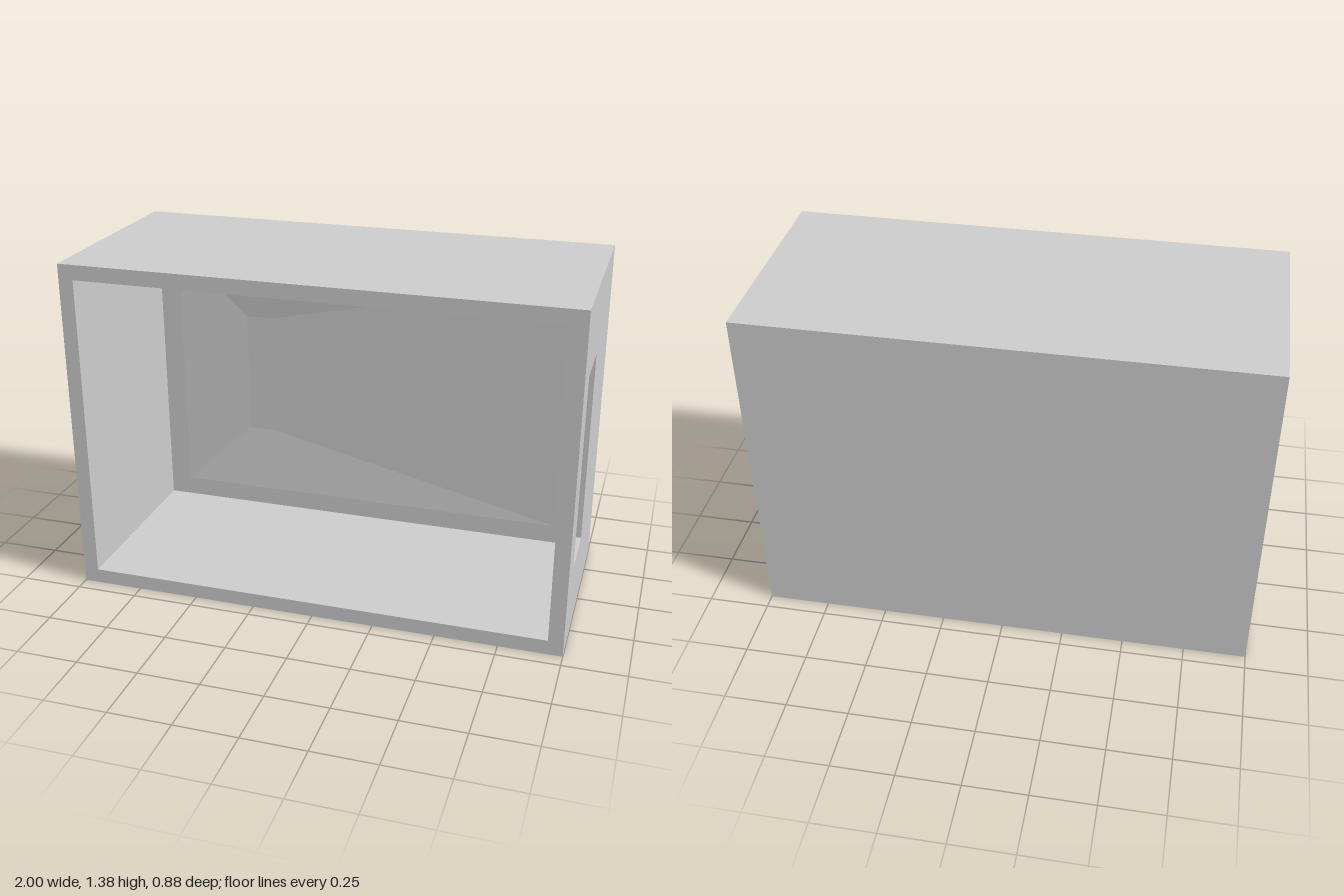
import * as THREE from 'three';
import { mergeGeometries } from 'three/addons/utils/BufferGeometryUtils.js';

const H = 1.375, D = 0.44;              // height, half depth
const X = 0.94, Y0 = 0.06, Y1 = 1.315;  // inner opening
const ZB = -0.34;                       // inner face of the back
const WIN = [0.035, 0.3, 0.287, 1.08];  // window in the side: z0, y0, z1, y1

function outline(target, u0, v0, u1, v1) {
  target.moveTo(u0, v0);
  target.lineTo(u1, v0);
  target.lineTo(u1, v1);
  target.lineTo(u0, v1);
  target.closePath();
  return target;
}

// Flat rectangle facing one axis; a and b are its ranges along the other two axes.
function panel(facing, at, a, b, hole) {
  const flip = { '+x': [-1, 1], '-x': [1, 1], '+y': [1, -1], '-y': [1, 1], '+z': [1, 1], '-z': [-1, 1] }[facing];
  const rect = ([a0, b0, a1, b1]) => {
    const u = [a0 * flip[0], a1 * flip[0]].sort((p, q) => p - q);
    const v = [b0 * flip[1], b1 * flip[1]].sort((p, q) => p - q);
    return [u[0], v[0], u[1], v[1]];
  };
  const shape = outline(new THREE.Shape(), ...rect([a[0], b[0], a[1], b[1]]));
  if (hole) shape.holes.push(outline(new THREE.Path(), ...rect(hole)));
  const g = new THREE.ShapeGeometry(shape);
  if (facing === '+x') g.rotateY(Math.PI / 2).translate(at, 0, 0);
  if (facing === '-x') g.rotateY(-Math.PI / 2).translate(at, 0, 0);
  if (facing === '+y') g.rotateX(-Math.PI / 2).translate(0, at, 0);
  if (facing === '-y') g.rotateX(Math.PI / 2).translate(0, at, 0);
  if (facing === '+z') g.translate(0, 0, at);
  if (facing === '-z') g.rotateY(Math.PI).translate(0, 0, at);
  return g;
}

// Inner back: nested rectangles joined by quads, the innermost pushed in slightly
function dentedPanel() {
  const rings = [
    [-X, Y0, X, Y1, ZB],
    [-0.85, 0.14, 0.85, 1.235, ZB],
    [-0.55, 0.425, -0.44, 0.955, ZB - 0.025],
  ];
  const pos = [], index = [];
  for (const [x0, y0, x1, y1, z] of rings) pos.push(x0, y0, z, x1, y0, z, x1, y1, z, x0, y1, z);
  for (let r = 0; r < rings.length - 1; r++) {
    for (let i = 0; i < 4; i++) {
      const a = r * 4 + i, b = r * 4 + (i + 1) % 4;
      index.push(a, b, b + 4, a, b + 4, a + 4);
    }
  }
  index.push(8, 9, 10, 8, 10, 11);
  const g = new THREE.BufferGeometry();
  g.setAttribute('position', new THREE.Float32BufferAttribute(pos, 3));
  g.setIndex(index);
  g.computeVertexNormals();
  return g;
}

export function createModel() {
  const group = new THREE.Group();
  group.name = 'openCase';
  const material = new THREE.MeshStandardMaterial({ color: 0xcccccc, flatShading: true });
  const add = (name, geometries) => {
    const mesh = new THREE.Mesh(mergeGeometries(geometries), material);
    mesh.name = name;
    group.add(mesh);
  };
  const full = { x: [-1, 1], y: [0, H], z: [-D, D] };
  const inner = { x: [-X, X], y: [Y0, Y1], z: [ZB, D] };

  // Outside of the case, with the window in its left side
  add('outerShell', [
    panel('+x', 1, full.z, full.y, WIN),
    panel('-x', -1, full.z, full.y),
    panel('+y', H, full.x, full.z),
    panel('-y', 0, full.x, full.z),
    panel('-z', -D, full.x, full.y),
  ]);

  // Flat border around the open front
  add('frontRim', [panel('+z', D, full.x, full.y, [-X, Y0, X, Y1])]);

  // Inside walls, floor and ceiling
  add('innerWalls', [
    panel('-x', X, inner.z, inner.y, WIN),
    panel('+x', -X, inner.z, inner.y),
    panel('+y', Y0, inner.x, inner.z),
    panel('-y', Y1, inner.x, inner.z),
  ]);
  add('innerBack', [dentedPanel()]);

  // Thickness of the wall around the window
  const [z0, y0, z1, y1] = WIN;
  add('windowReveal', [
    panel('+y', y0, [X, 1], [z0, z1]),
    panel('-y', y1, [X, 1], [z0, z1]),
    panel('+z', z0, [X, 1], [y0, y1]),
    panel('-z', z1, [X, 1], [y0, y1]),
  ]);
  return group;
}
